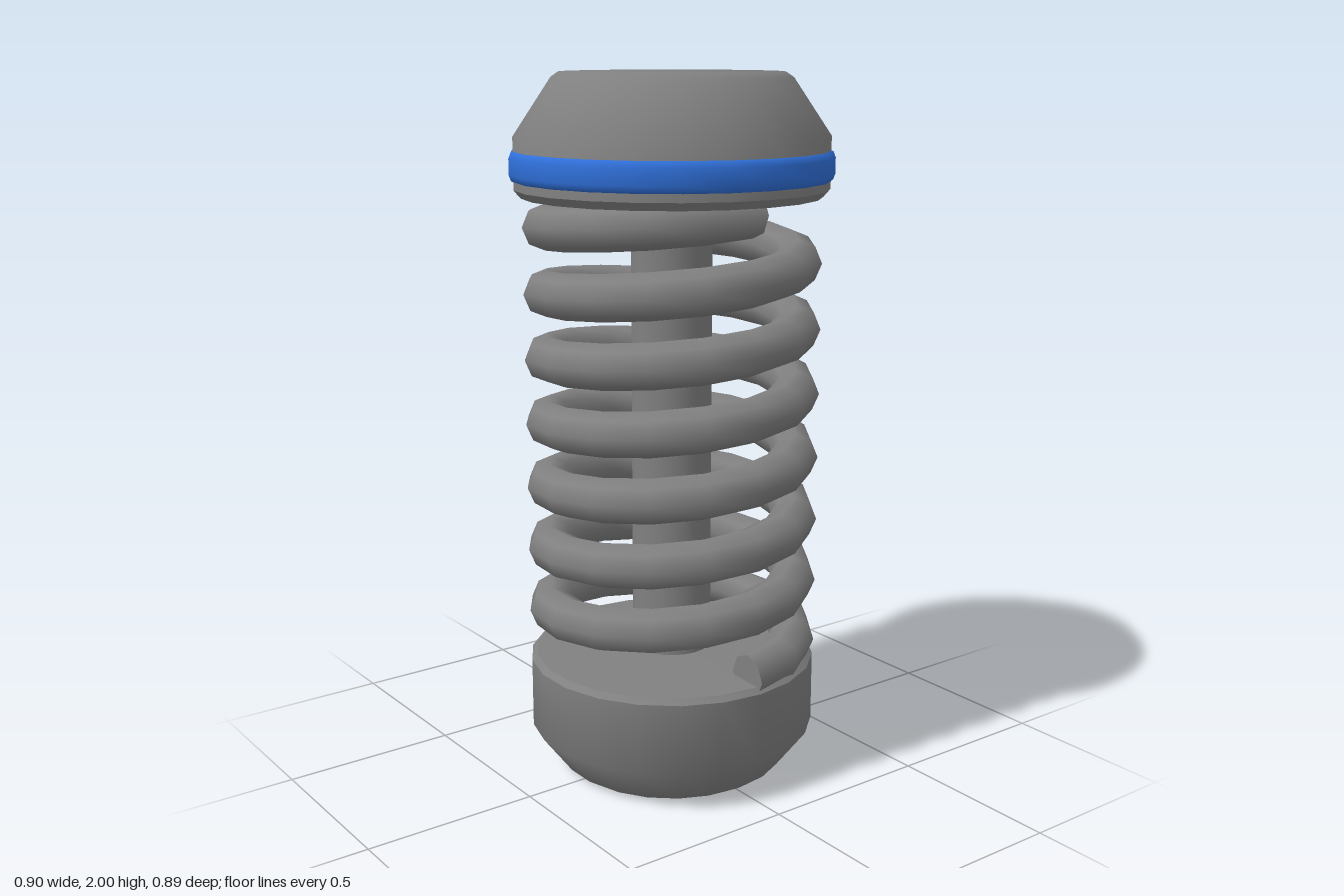
import * as THREE from 'three';
import { toCreasedNormals } from 'three/addons/utils/BufferGeometryUtils.js';

const SIDES = 22;
const grey = new THREE.MeshStandardMaterial({ color: 0x808080 });
const blue = new THREE.MeshStandardMaterial({ color: 0x2f6fd8 });

// Turned part from [radius, height] pairs, listed bottom to top
function turned(name, profile, material, crease = 0.7) {
  const points = profile.map(([r, y]) => new THREE.Vector2(r, y));
  const geometry = new THREE.LatheGeometry(points, SIDES, Math.PI / 2);
  const mesh = new THREE.Mesh(toCreasedNormals(geometry, crease), material);
  mesh.name = name;
  return mesh;
}

// Coil: a closed cylinder wound around the y axis
function coil({ radius, wire, turns, bottom, top }) {
  const geometry = new THREE.CylinderGeometry(wire, wire, 1, 8, turns * 16);
  const p = geometry.attributes.position;
  for (let i = 0; i < p.count; i++) {
    const t = p.getY(i) + 0.5;
    const angle = t * turns * Math.PI * 2;
    const r = radius + p.getX(i);
    p.setXYZ(i, r * Math.cos(angle), bottom + t * (top - bottom) + p.getZ(i), -r * Math.sin(angle));
  }
  const mesh = new THREE.Mesh(toCreasedNormals(geometry, 1), grey);
  mesh.name = 'coilSpring';
  return mesh;
}

export function createModel() {
  const group = new THREE.Group();
  group.name = 'springDamper';

  // Bottom cap with tapered foot and a slightly raised seat
  group.add(turned('bottomCap', [
    [0, 0], [0.31, 0], [0.33, 0.013], [0.415, 0.125],
    [0.415, 0.328], [0.399, 0.343], [0, 0.358],
  ], grey));

  // Central rod
  group.add(turned('rod', [[0.114, 0.33], [0.114, 1.68]], grey));

  // Spring
  group.add(coil({ radius: 0.355, wire: 0.064, turns: 7, bottom: 0.36, top: 1.645 }));

  // Top cap with tapered crown and bevelled lip
  group.add(turned('topCap', [
    [0, 1.652], [0.418, 1.665], [0.437, 1.687], [0.437, 1.83],
    [0.332, 1.985], [0.31, 2], [0, 2],
  ], grey));

  // Rounded coloured band around the top cap
  group.add(turned('band', [
    [0.434, 1.708], [0.443, 1.712], [0.449, 1.728],
    [0.449, 1.772], [0.443, 1.788], [0.434, 1.792],
  ], blue, 0.9));

  return group;
}
